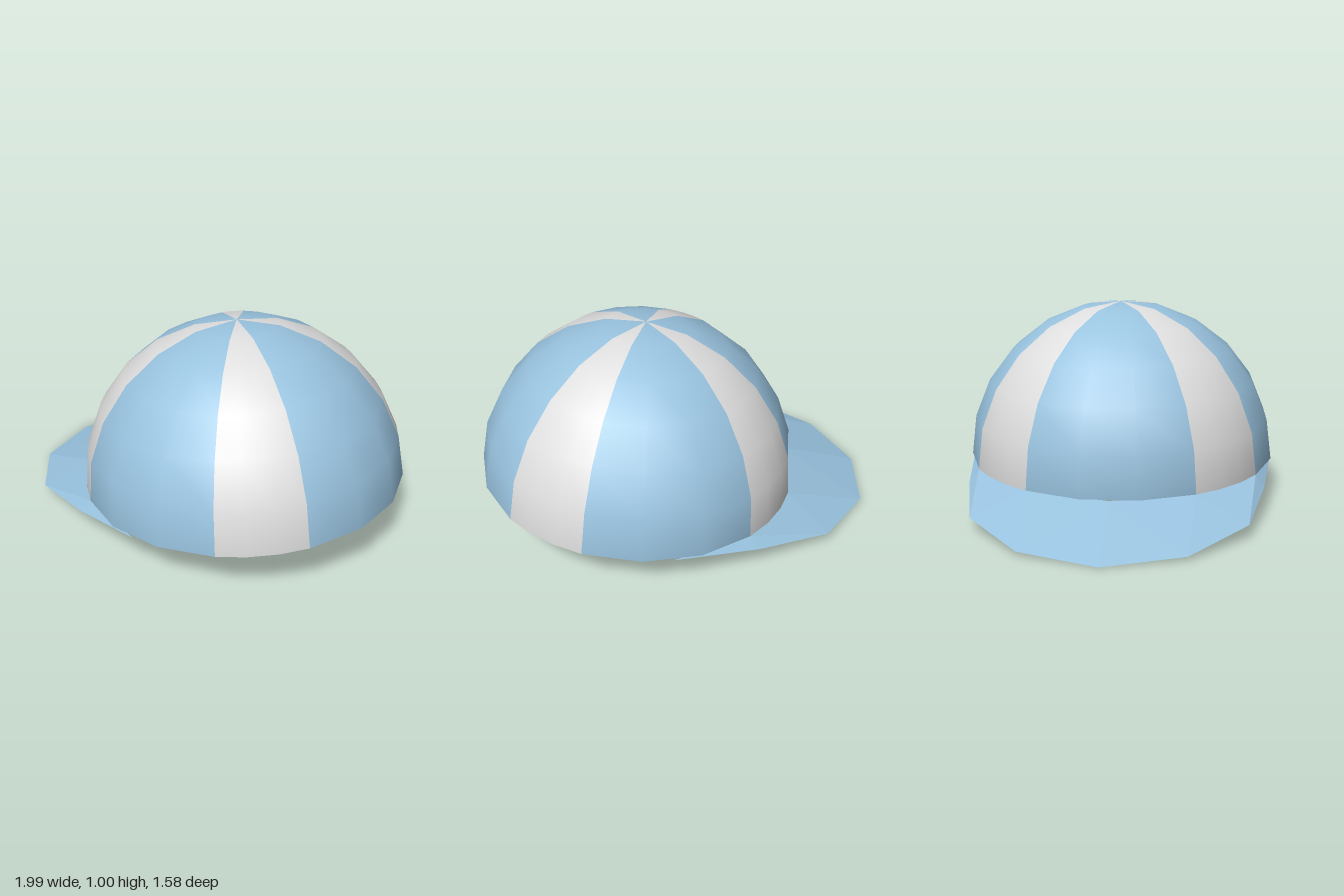
import * as THREE from 'three';

const RADIUS = 0.791;
const TILT = 0.073;
const CENTRE = new THREE.Vector3(0.21, 0.212, 0);

export function createModel() {
  const blue = new THREE.MeshStandardMaterial({ color: 0x99c3df, side: THREE.DoubleSide });
  blue.name = 'skyBlue';
  const white = new THREE.MeshStandardMaterial({ color: 0xdedede, side: THREE.DoubleSide });
  white.name = 'lightGrey';

  const cap = new THREE.Group();
  cap.name = 'cap';

  // Crown: an open, tilted hemisphere of alternating wide and narrow panels
  const crown = new THREE.Group();
  crown.name = 'crown';
  crown.position.copy(CENTRE);
  crown.rotation.z = TILT;
  cap.add(crown);

  const addPanel = (name, material, startDeg, segments) => {
    const start = THREE.MathUtils.degToRad(startDeg);
    const geometry = new THREE.SphereGeometry(
      RADIUS, segments, 6, start, segments * Math.PI / 6, 0, Math.PI / 2);
    const panel = new THREE.Mesh(geometry, material);
    panel.name = name;
    crown.add(panel);
  };
  for (let k = 0; k < 4; k++) {
    addPanel('widePanel' + (k + 1), blue, 90 * k - 30, 2);
    addPanel('narrowPanel' + (k + 1), white, 90 * k + 30, 1);
  }

  // Brim: a thin sheet between the crown's rim and a lower outer edge
  const rim = (deg) => {
    const a = THREE.MathUtils.degToRad(deg);
    return new THREE.Vector3(Math.cos(a) * RADIUS, 0, Math.sin(a) * RADIUS)
      .applyAxisAngle(new THREE.Vector3(0, 0, 1), TILT).add(CENTRE);
  };
  const inner = [90, 120, 150, 180].map(rim);
  const outer = [[-0.22, 0.13, 0.725], [-0.605, 0.067, 0.63], [-0.895, 0.021, 0.362], [-1, 0.003, 0]]
    .map((p) => new THREE.Vector3(...p));
  const [i0, i1, i2, i3] = inner;
  const [o1, o2, o3, o4] = outer;
  const half = [
    [i0, i1, o1], [i1, o2, o1], [i1, i2, o2],
    [i2, o3, o2], [i2, i3, o3], [i3, o4, o3],
  ];
  const points = [];
  for (const [a, b, c] of half) {
    points.push(a, b, c);
    // Mirrored half, with the corner order reversed
    for (const p of [a, c, b]) points.push(new THREE.Vector3(p.x, p.y, -p.z));
  }
  const brimGeometry = new THREE.BufferGeometry().setFromPoints(points);
  brimGeometry.computeVertexNormals();
  const brim = new THREE.Mesh(brimGeometry, blue);
  brim.name = 'brim';
  cap.add(brim);

  return cap;
}
